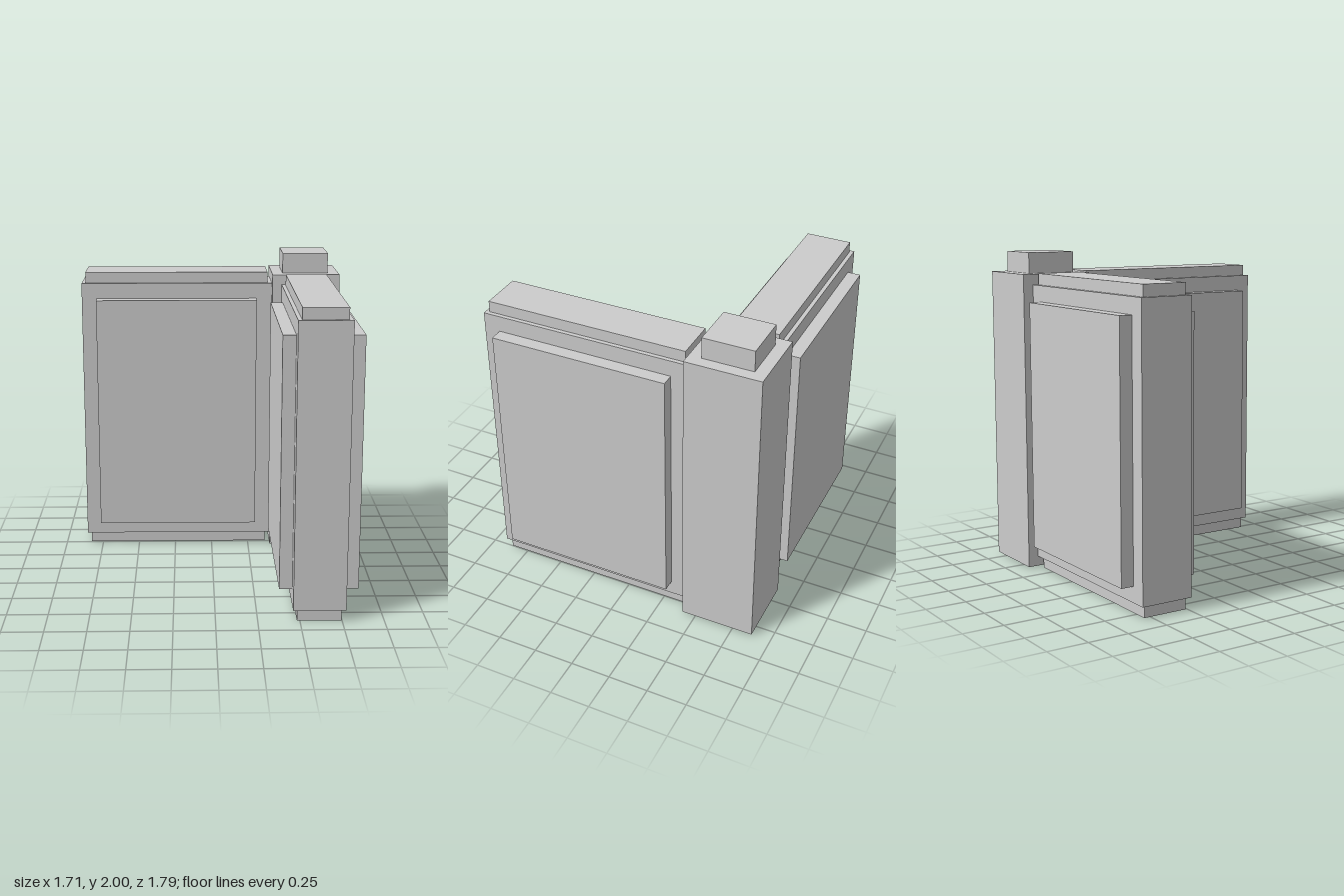
import * as THREE from 'three';

const material = new THREE.MeshStandardMaterial({ color: 0xcccccc, flatShading: true });

// Box given by its [min, max] range on each axis
function box(name, [x0, x1], [y0, y1], [z0, z1]) {
  const mesh = new THREE.Mesh(new THREE.BoxGeometry(x1 - x0, y1 - y0, z1 - z0), material);
  mesh.position.set((x0 + x1) / 2, (y0 + y1) / 2, (z0 + z1) / 2);
  mesh.name = name;
  return mesh;
}

// Wall: a tall inner core, a wider slab around it and a raised panel on both faces
function wall(name, core, slab, panel) {
  const group = new THREE.Group();
  group.name = name;
  group.add(
    box('core', core.x, [0, 1.875], core.z),
    box('slab', slab.x, [0.073, 1.805], slab.z),
    box('raisedPanels', panel.x, [0.17, 1.705], panel.z),
  );
  return group;
}

export function createModel() {
  const model = new THREE.Group();
  model.name = 'cornerWall';

  // Corner post with its cap block
  const post = new THREE.Group();
  post.name = 'cornerPost';
  post.add(
    box('postShaft', [0.398, 0.836], [0.01, 1.87], [-0.88, -0.416]),
    box('postCap', [0.468, 0.764], [1.86, 2], [-0.805, -0.492]),
  );
  model.add(post);

  // Wall running to the right along x
  model.add(wall('backWall',
    { x: [-0.83, 0.37], z: [-0.79, -0.51] },
    { x: [-0.855, 0.399], z: [-0.815, -0.485] },
    { x: [-0.757, 0.295], z: [-0.895, -0.402] }));

  // Wall running to the front along z
  model.add(wall('sideWall',
    { x: [0.482, 0.747], z: [-0.39, 0.866] },
    { x: [0.458, 0.772], z: [-0.417, 0.89] },
    { x: [0.38, 0.853], z: [-0.312, 0.792] }));

  return model;
}
